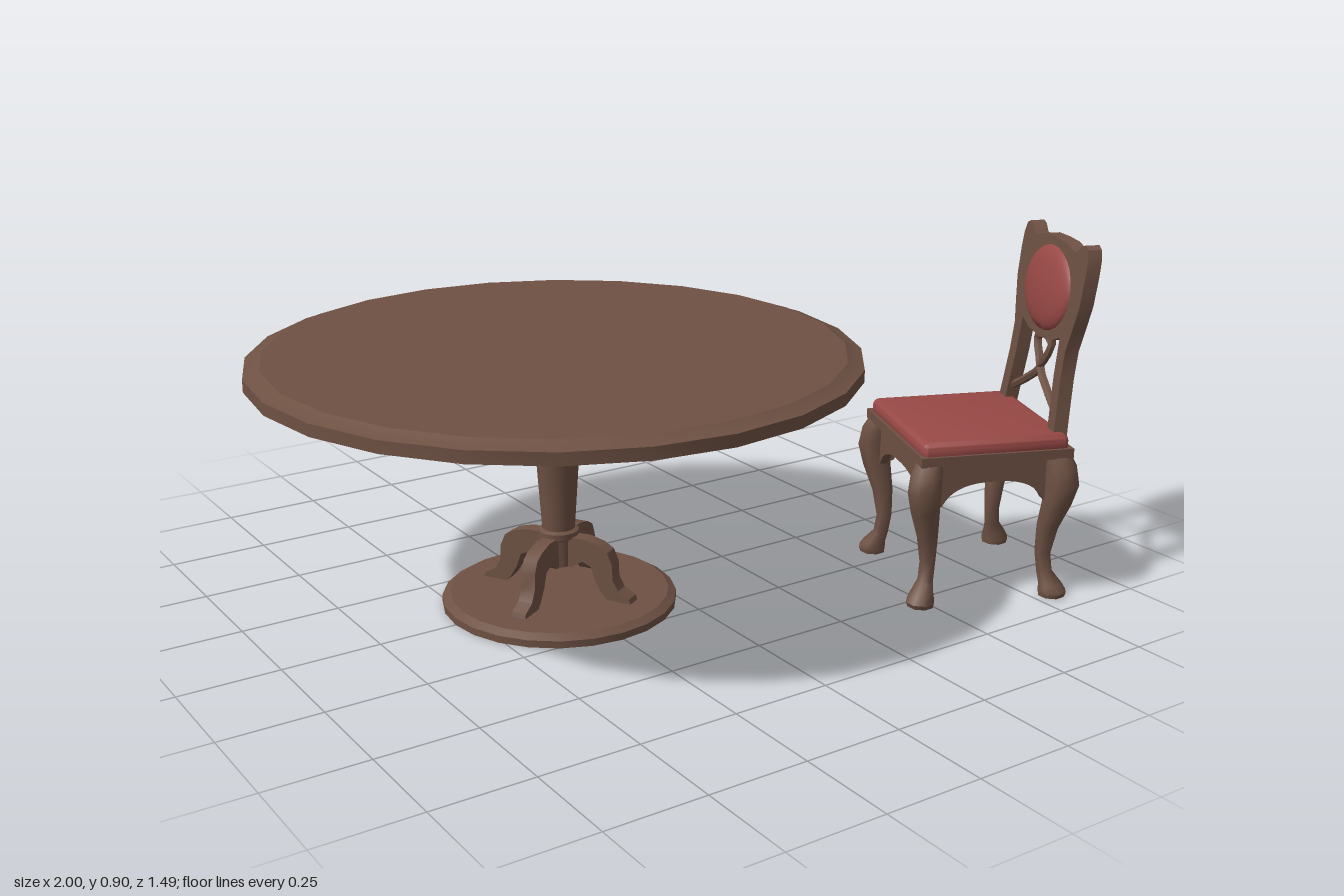
import * as THREE from 'three';
import { toCreasedNormals } from 'three/addons/utils/BufferGeometryUtils.js';
import { RoundedBoxGeometry } from 'three/addons/geometries/RoundedBoxGeometry.js';

const wood = new THREE.MeshStandardMaterial({ color: 0x6e5143 });
wood.name = 'brown wood';
const fabric = new THREE.MeshStandardMaterial({ color: 0x984946 });
fabric.name = 'red fabric';

function add(parent, name, geometry, material = wood, crease = 0.5) {
  const mesh = new THREE.Mesh(toCreasedNormals(geometry, crease), material);
  mesh.name = name;
  parent.add(mesh);
  return mesh;
}

const vectors = (pts) => pts.map(([x, y]) => new THREE.Vector2(x, y));
const lathe = (pts, sides = 24) => new THREE.LatheGeometry(vectors(pts), sides);

function extrude(shape, depth) {
  const g = new THREE.ExtrudeGeometry(shape, { depth, bevelEnabled: false, curveSegments: 8 });
  return g.translate(0, 0, -depth / 2);
}

// Rows of [y, forward offset, half thickness], from top to bottom
function cabrioleLeg(rows, sides) {
  const n = rows.length - 1;
  const g = new THREE.CylinderGeometry(1, 1, 1, sides, n);
  const p = g.attributes.position;
  for (let i = 0; i < p.count; i++) {
    const [y, offset, r] = rows[Math.round((0.5 - p.getY(i)) * n)];
    p.setXYZ(i, p.getX(i) * r, y, p.getZ(i) * r + offset);
  }
  return g;
}

function createTable() {
  const table = new THREE.Group();
  table.name = 'table';

  add(table, 'tableTop', lathe([[0, 0.615], [0.745, 0.615], [0.745, 0.645],
    [0.725, 0.65], [0.705, 0.66], [0, 0.66]]), wood, 0.35);
  add(table, 'baseDisc', lathe([[0, 0], [0.295, 0], [0.295, 0.018], [0.275, 0.03], [0, 0.03]]));

  // Turned column with a bulb and rings
  add(table, 'column', lathe([[0, 0.1], [0.04, 0.1], [0.042, 0.17], [0.051, 0.175], [0.051, 0.19],
    [0.041, 0.195], [0.058, 0.45], [0.06, 0.46], [0.075, 0.463], [0.075, 0.48], [0.064, 0.485],
    [0.066, 0.505], [0.085, 0.515], [0.108, 0.54], [0.11, 0.56], [0.1, 0.575], [0.088, 0.58],
    [0.088, 0.597], [0.117, 0.6], [0.117, 0.616], [0, 0.616]]));

  // Four scrolled feet around the column
  const foot = new THREE.Shape(vectors([[0.025, 0.1], [0.045, 0.1], [0.075, 0.12], [0.1, 0.11],
    [0.112, 0.075], [0.13, 0.045], [0.145, 0.028], [0.21, 0.028], [0.205, 0.042], [0.175, 0.058],
    [0.16, 0.085], [0.158, 0.125], [0.145, 0.155], [0.12, 0.17], [0.08, 0.18], [0.025, 0.178]]));
  for (let i = 0; i < 4; i++) {
    add(table, 'pedestalFoot', extrude(foot, 0.038)).rotation.y = -1.03 + i * Math.PI / 2;
  }
  return table;
}

function createChair() {
  const chair = new THREE.Group();
  chair.name = 'chair';
  const W = 0.42, D = 0.395;

  // Seat
  add(chair, 'seatFrame', new THREE.BoxGeometry(W, 0.025, D).translate(0, 0.3845, 0));
  add(chair, 'seatCushion', new RoundedBoxGeometry(W - 0.015, 0.05, D - 0.015, 3, 0.018)
    .translate(0, 0.405, 0), fabric, 1);

  // Arched aprons on all four sides
  for (let i = 0; i < 4; i++) {
    const h = (i % 2 ? D : W) / 2 - 0.03;
    const s = new THREE.Shape();
    s.moveTo(-h, 0.374);
    s.lineTo(-h, 0.25);
    s.lineTo(-h + 0.035, 0.262);
    s.quadraticCurveTo(-h + 0.06, 0.315, -0.02, 0.318);
    s.lineTo(0.02, 0.318);
    s.quadraticCurveTo(h - 0.06, 0.315, h - 0.035, 0.262);
    s.lineTo(h, 0.25);
    s.lineTo(h, 0.374);
    const apron = add(chair, 'apron', extrude(s, 0.022));
    const out = (i % 2 ? W : D) / 2 - 0.03;
    apron.rotation.y = i * Math.PI / 2;
    apron.position.set(Math.sin(apron.rotation.y) * out, 0, Math.cos(apron.rotation.y) * out);
  }

  // Cabriole legs, each turned out towards its corner
  const rows = [[0.374, 0, 0.036], [0.345, 0.012, 0.042], [0.305, 0.018, 0.044], [0.25, 0.008, 0.038],
    [0.18, -0.012, 0.028], [0.11, -0.02, 0.021], [0.06, -0.012, 0.021], [0.03, 0.006, 0.031],
    [0.012, 0.012, 0.037], [0, 0.01, 0.034]];
  for (const sx of [-1, 1]) for (const sz of [-1, 1]) {
    const leg = add(chair, sz > 0 ? 'frontLeg' : 'backLeg', cabrioleLeg(rows, 8), wood, 0.9);
    leg.position.set(sx * (W / 2 - 0.03), 0, sz * (D / 2 - 0.03));
    leg.rotation.y = Math.atan2(sx, sz);
  }

  // Leaning back: two posts and a crested panel in one outline
  const back = new THREE.Group();
  back.name = 'back';
  chair.add(back);
  const half = [[0, 0.885], [0.06, 0.883], [0.1, 0.872], [0.125, 0.872], [0.142, 0.89], [0.16, 0.896],
    [0.178, 0.888], [0.188, 0.86], [0.19, 0.82], [0.187, 0.75], [0.172, 0.69], [0.155, 0.63],
    [0.156, 0.56], [0.168, 0.46], [0.178, 0.39], [0.138, 0.39], [0.13, 0.46], [0.117, 0.56],
    [0.113, 0.655], [0.07, 0.637], [0, 0.63]];
  const mirrored = half.slice(1, -1).reverse().map(([x, y]) => [-x, y]);
  add(back, 'backFrame', extrude(new THREE.Shape(vectors([...half, ...mirrored])), 0.036));

  // Padded oval on the front of the back
  const pad = new THREE.SphereGeometry(1, 28, 14).scale(0.13, 0.108, 0.03).translate(0, 0.757, 0.014);
  add(back, 'backCushion', pad, fabric, 1);

  // Openwork splat between panel and posts
  const bar = (pts) => {
    const curve = new THREE.CatmullRomCurve3(pts.map(([x, y]) => new THREE.Vector3(x, y, 0)));
    add(back, 'splatBar', new THREE.TubeGeometry(curve, 10, 0.011, 6), wood, 0.9);
  };
  for (const s of [-1, 1]) {
    bar([[s * 0.035, 0.645], [s * 0.042, 0.615], [s * 0.022, 0.58], [0, 0.55],
      [s * 0.06, 0.505], [s * 0.14, 0.46]]);
    bar([[s * 0.04, 0.62], [s * 0.02, 0.632], [0, 0.636]]);
  }

  // Lean the back by shearing it away from the seat
  back.traverse((o) => {
    if (!o.isMesh) return;
    const shear = new THREE.Matrix4().set(1, 0, 0, 0, 0, 1, 0, 0, 0, -0.11, 1, -0.172 + 0.11 * 0.4, 0, 0, 0, 1);
    o.geometry.applyMatrix4(shear);
  });
  return chair;
}

export function createModel() {
  const model = new THREE.Group();
  model.name = 'diningSet';
  const table = createTable();
  table.position.x = -0.255;
  const chair = createChair();
  chair.position.set(0.711, 0, 0.424);
  chair.rotation.y = -1.952;
  model.add(table, chair);
  return model;
}
